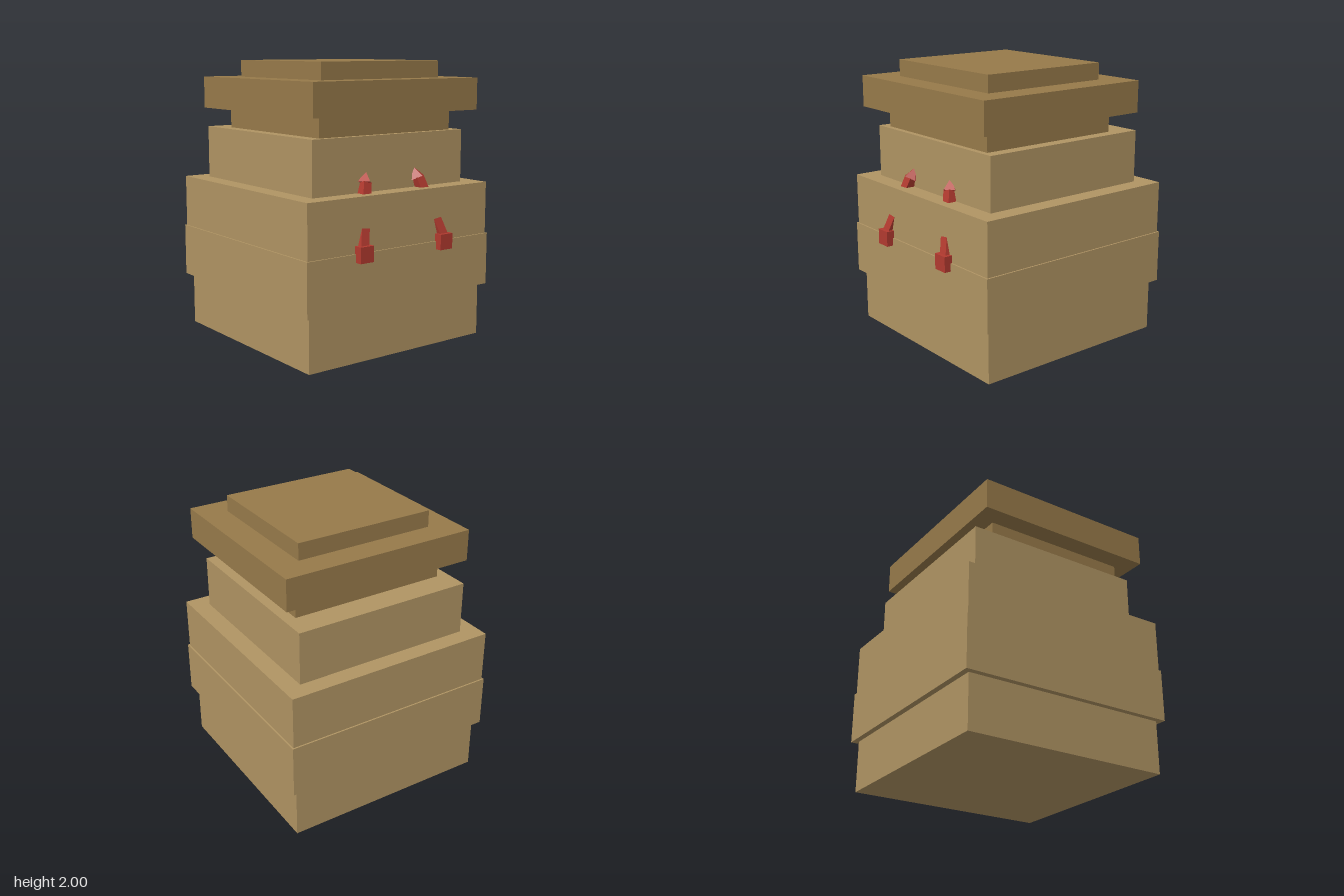
import * as THREE from 'three';

const tan = new THREE.MeshStandardMaterial({ color: 0xb09463, flatShading: true });
const brown = new THREE.MeshStandardMaterial({ color: 0x977a4a, flatShading: true });
const red = new THREE.MeshStandardMaterial({ color: 0xb23a2f, flatShading: true });

function add(parent, name, geometry, material, x, y, z) {
  const mesh = new THREE.Mesh(geometry, material);
  mesh.name = name;
  mesh.position.set(x, y, z);
  parent.add(mesh);
  return mesh;
}

// Arrow-like peg: square foot, leaning shaft and four-sided point
function makePeg(side) {
  const peg = new THREE.Group();
  peg.name = side > 0 ? 'leftPeg' : 'rightPeg';
  const start = new THREE.Vector3(side * 0.365, 0.76, 0.785);
  const end = new THREE.Vector3(side * 0.234, 1.2, 0.65);
  const axis = end.clone().sub(start);
  const length = axis.length();
  axis.normalize();
  const lean = new THREE.Quaternion().setFromUnitVectors(new THREE.Vector3(0, 1, 0), axis);
  const middle = start.clone().lerp(end, 0.5);
  const tip = end.clone().addScaledVector(axis, 0.042);

  add(peg, 'pegFoot', new THREE.BoxGeometry(0.11, 0.11, 0.11), red, side * 0.354, 0.755, 0.775);
  add(peg, 'pegShaft', new THREE.BoxGeometry(0.066, length, 0.066), red, ...middle.toArray())
    .quaternion.copy(lean);
  add(peg, 'pegPoint', new THREE.ConeGeometry(0.057, 0.09, 4), red, ...tip.toArray())
    .quaternion.copy(lean);
  return peg;
}

export function createModel() {
  const model = new THREE.Group();
  model.name = 'steppedPot';

  // Stacked slabs: name, material, width, depth, centre z, bottom, top
  const slabs = [
    ['base', tan, 1.52, 1.52, -0.02, 0, 0.38],
    ['lowerBody', tan, 1.604, 1.604, -0.02, 0.38, 0.757],
    ['upperBody', tan, 1.582, 1.582, -0.02, 0.757, 1.132],
    ['shoulder', tan, 1.32, 1.325, -0.022, 1.132, 1.51],
    ['neck', brown, 1.15, 1.095, 0.052, 1.51, 1.653],
    ['rim', brown, 1.434, 1.367, 0.05, 1.653, 1.88],
    ['lid', brown, 1.03, 0.985, 0.05, 1.88, 2],
  ];
  for (const [name, material, w, d, z, y0, y1] of slabs) {
    add(model, name, new THREE.BoxGeometry(w, y1 - y0, d), material, 0, (y0 + y1) / 2, z);
  }

  // Mirrored pegs on the front
  for (const side of [1, -1]) model.add(makePeg(side));
  return model;
}
